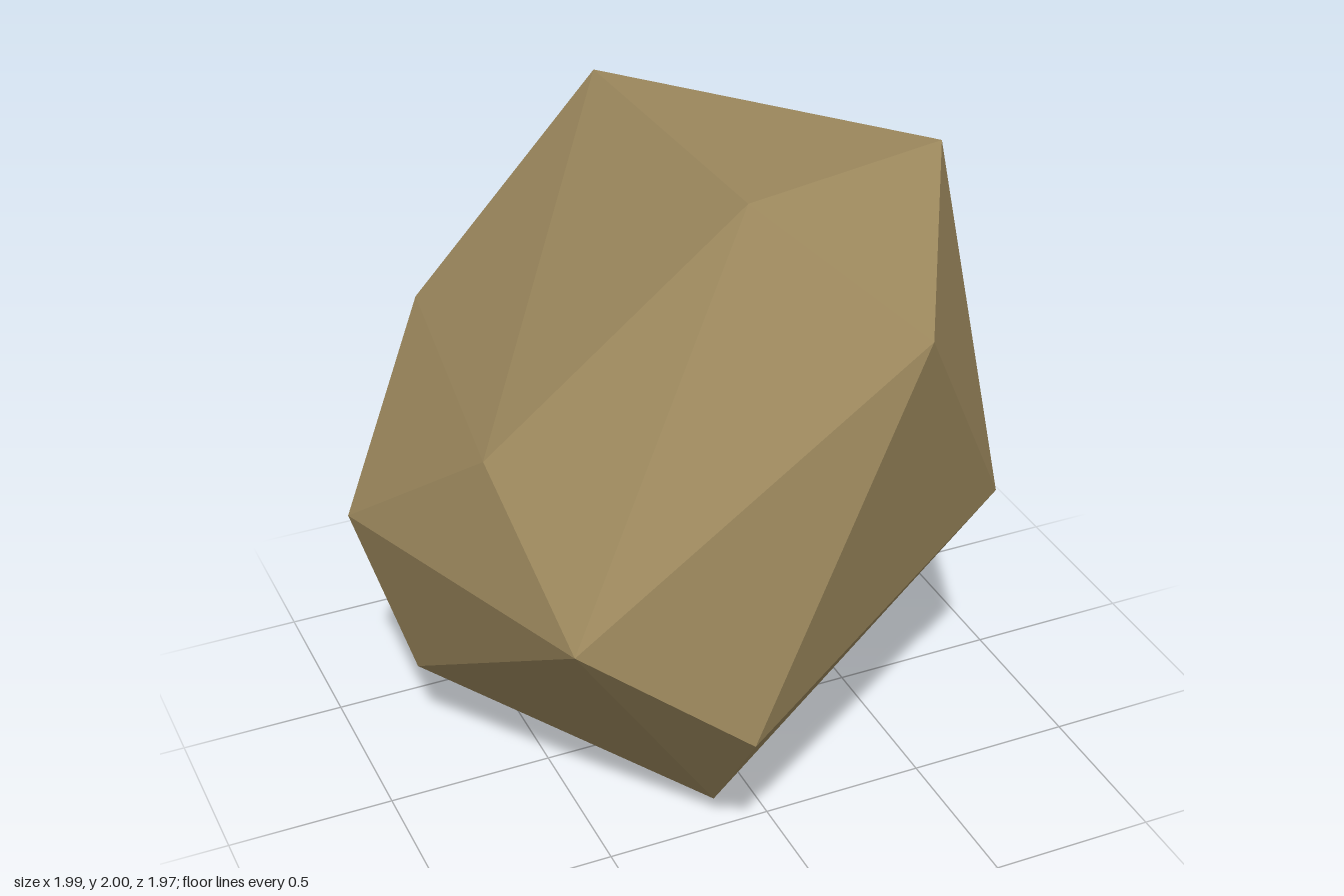
import * as THREE from 'three';
import { ConvexGeometry } from 'three/addons/geometries/ConvexGeometry.js';

// Corners of the boulder, an irregular twelve-sided stone
const corners = [
  // crown
  [-0.06, 2.0, 0.45], [0.6, 1.98, 0.28], [0.22, 1.79, 0.96], [-0.08, 1.97, -0.56],
  // shoulders
  [0.15, 1.55, -0.84], [0.7, 1.54, -0.45], [-0.76, 1.3, 0.29], [-0.63, 1.31, -0.64],
  // waist
  [-0.72, 1.0, 0.83], [0.67, 1.0, 0.57], [0.98, 0.98, -0.58], [-1.0, 0.88, -0.23],
  [0.36, 0.8, -0.99], [0.99, 0.71, -0.28], [-0.27, 0.675, 0.98], [-0.32, 0.655, -0.8],
  // underside
  [0.32, 0.4, -0.69], [-0.84, 0.335, -0.17], [-0.16, 0.08, 0.47], [-0.07, 0.0, -0.2],
];

export function createModel() {
  const group = new THREE.Group();
  group.name = 'rock';

  const stone = new THREE.MeshStandardMaterial({ color: 0x9c885d });
  stone.name = 'sandy stone';
  stone.flatShading = true;

  // Faceted stone body wrapped around the corners
  const points = corners.map((c) => new THREE.Vector3(...c));
  const boulder = new THREE.Mesh(new ConvexGeometry(points), stone);
  boulder.name = 'boulder';
  group.add(boulder);

  return group;
}
